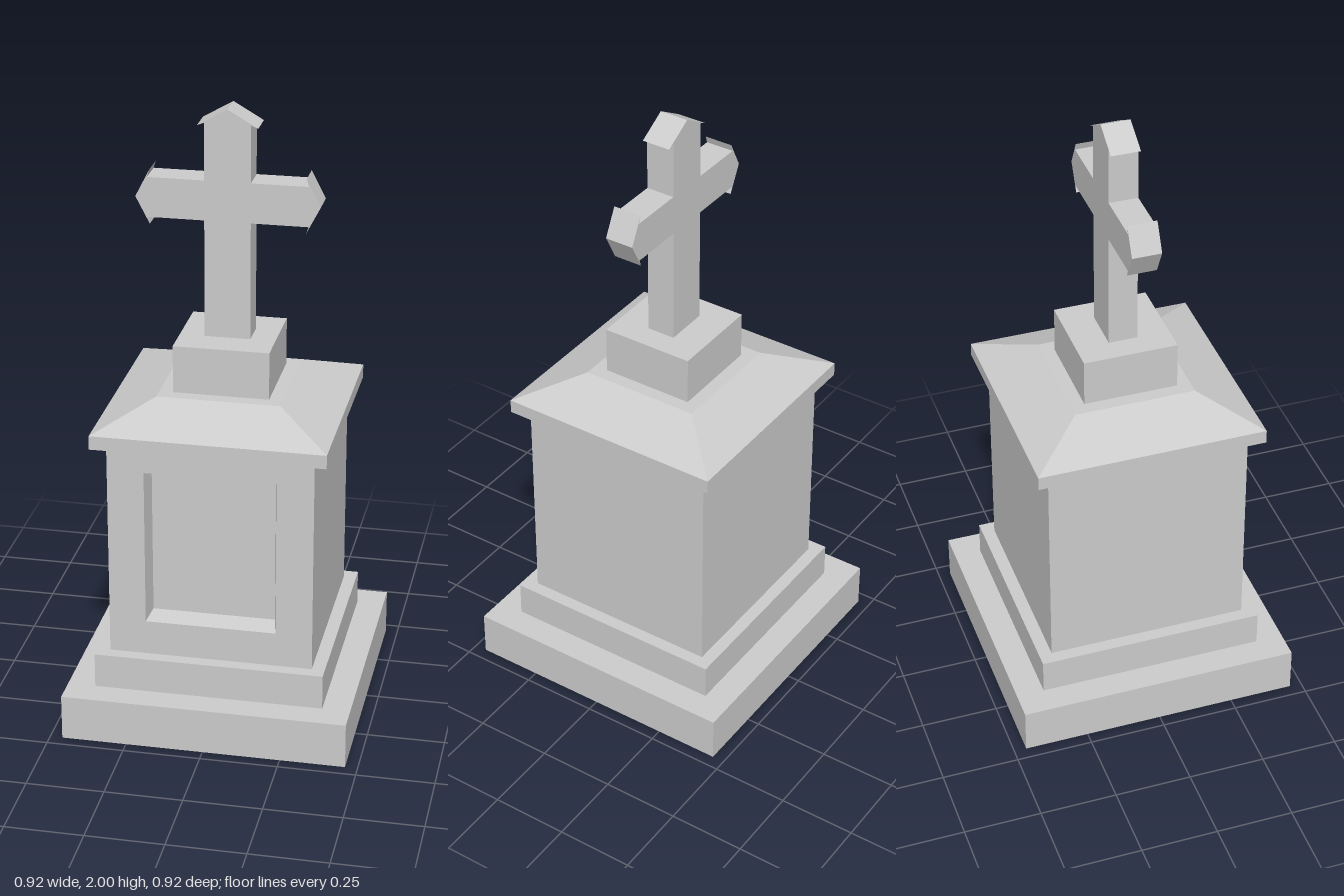
import * as THREE from 'three';

const stone = new THREE.MeshStandardMaterial({ color: 0xcccccc, flatShading: true });

// Skin a series of rectangles [x0, x1, y0, y1, z] and cap both ends
function loft(rects) {
  const rings = rects.map(([x0, x1, y0, y1, z]) => [[x0, y0, z], [x1, y0, z], [x1, y1, z], [x0, y1, z]]);
  const pos = [];
  const quad = (a, b, c, d) => pos.push(...a, ...b, ...c, ...a, ...c, ...d);
  for (let i = 0; i < rings.length - 1; i++) {
    const r = rings[i], s = rings[i + 1];
    for (let k = 0; k < 4; k++) {
      const n = (k + 1) % 4;
      quad(r[k], r[n], s[n], s[k]);
    }
  }
  const first = rings[0], last = rings[rings.length - 1];
  quad(first[3], first[2], first[1], first[0]);
  quad(...last);
  const geo = new THREE.BufferGeometry();
  geo.setAttribute('position', new THREE.Float32BufferAttribute(pos, 3));
  geo.computeVertexNormals();
  return geo;
}

export function createModel() {
  const group = new THREE.Group();
  const add = (name, geo) => {
    const mesh = new THREE.Mesh(geo, stone);
    mesh.name = name;
    group.add(mesh);
  };
  // Square block given by half width, bottom and top
  const block = (name, h, y0, y1) =>
    add(name, new THREE.BoxGeometry(2 * h, y1 - y0, 2 * h).translate(0, (y0 + y1) / 2, 0));

  block('base', 0.46, 0, 0.15);
  block('step', 0.37, 0.15, 0.265);

  // Pedestal body, with a bevelled recessed panel in the front
  const b = 0.328;
  add('pedestal', loft([
    [-b, b, 0.265, 0.985, -b],
    [-b, b, 0.265, 0.985, b],
    [-0.21, 0.21, 0.38, 0.9, b],
    [-0.198, 0.198, 0.397, 0.883, b - 0.06],
  ]));

  // Cornice with a hipped top
  const square = (h, y) => [-h, h, -h, h, y];
  add('cornice', loft([square(0.372, 0.985), square(0.372, 1.03), square(0.197, 1.105)]).rotateX(-Math.PI / 2));

  block('crossPlinth', 0.153, 1.105, 1.26);

  // Cross outline: right half, mirrored for the left, with pointed barbed ends
  const half = [
    [0.073, 1.26], [0.073, 1.642], [0.253, 1.642], [0.245, 1.62], [0.29, 1.707],
    [0.245, 1.795], [0.253, 1.771], [0.073, 1.771], [0.073, 1.954], [0.095, 1.945],
  ];
  const outline = [...half, [0, 2], ...half.map(([x, y]) => [-x, y]).reverse()];
  const shape = new THREE.Shape(outline.map(([x, y]) => new THREE.Vector2(x, y)));
  add('cross', new THREE.ExtrudeGeometry(shape, { depth: 0.094, bevelEnabled: false }).translate(0, 0, -0.046));

  return group;
}
